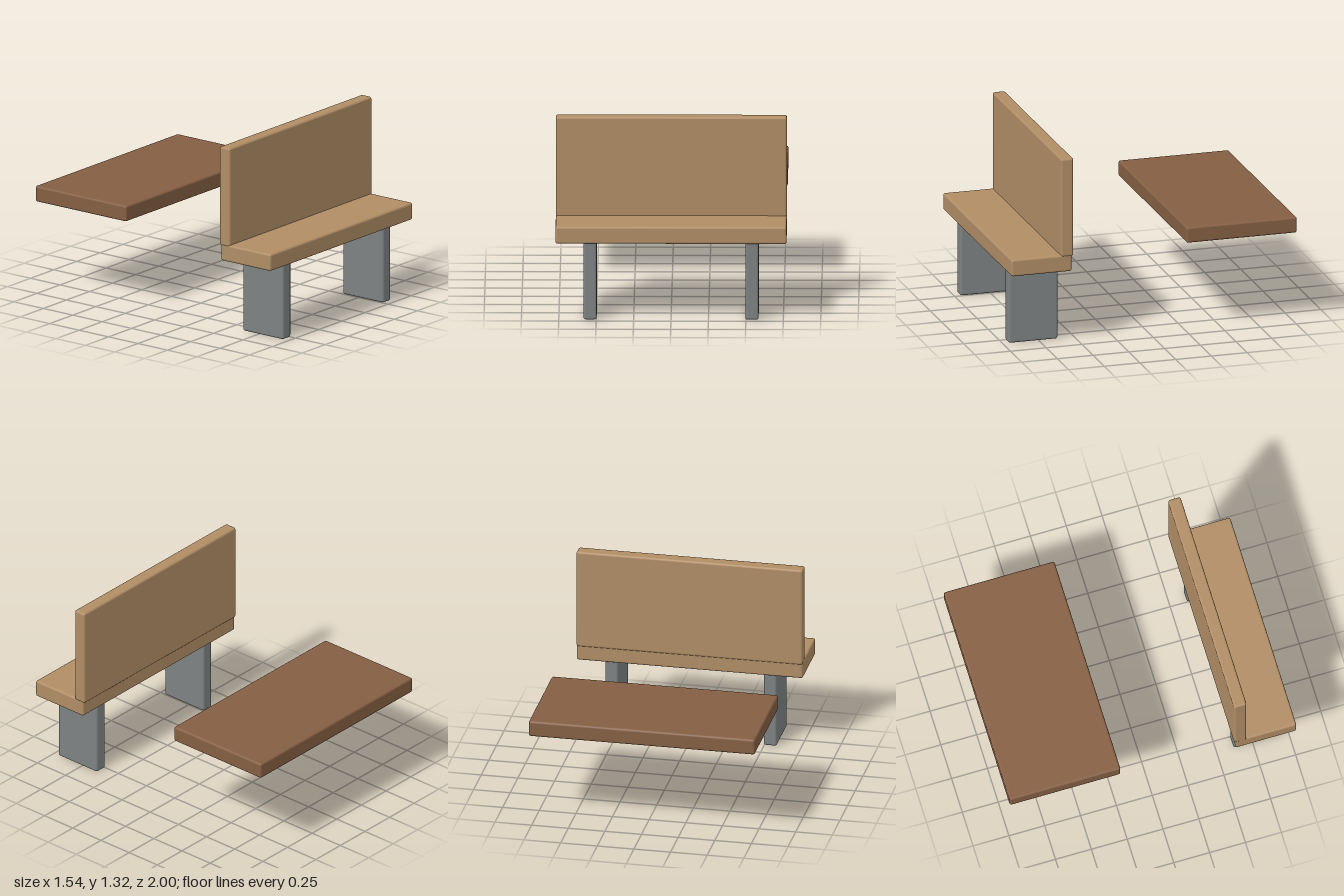
import * as THREE from 'three';
import { RoundedBoxGeometry } from 'three/addons/geometries/RoundedBoxGeometry.js';

const lightWood = new THREE.MeshStandardMaterial({ color: 0xb08d65 });
const darkWood = new THREE.MeshStandardMaterial({ color: 0x855f43 });
const metal = new THREE.MeshStandardMaterial({ color: 0x7d8283 });

// Slab with softened edges, given by its extents on each axis
function slab(name, [x0, x1], [y0, y1], [z0, z1], material) {
  const geometry = new RoundedBoxGeometry(x1 - x0, y1 - y0, z1 - z0, 2, 0.015);
  const mesh = new THREE.Mesh(geometry, material);
  mesh.name = name;
  mesh.position.set((x0 + x1) / 2, (y0 + y1) / 2, (z0 + z1) / 2);
  return mesh;
}

export function createModel() {
  const model = new THREE.Group();
  model.name = 'benchAndTable';
  const width = [-0.772, 0.772];

  // Bench: seat, backrest and two panel legs
  const bench = new THREE.Group();
  bench.name = 'bench';
  bench.add(slab('seat', width, [0.527, 0.645], [0.577, 1], lightWood));
  bench.add(slab('backrest', width, [0.63, 1.32], [0.565, 0.653], lightWood));
  bench.add(slab('leftLeg', [0.497, 0.585], [0, 0.54], [0.617, 0.96], metal));
  bench.add(slab('rightLeg', [-0.585, -0.497], [0, 0.54], [0.617, 0.96], metal));
  model.add(bench);

  // Free-standing table top behind the bench
  model.add(slab('tableTop', width, [0.646, 0.756], [-1, -0.227], darkWood));
  return model;
}
